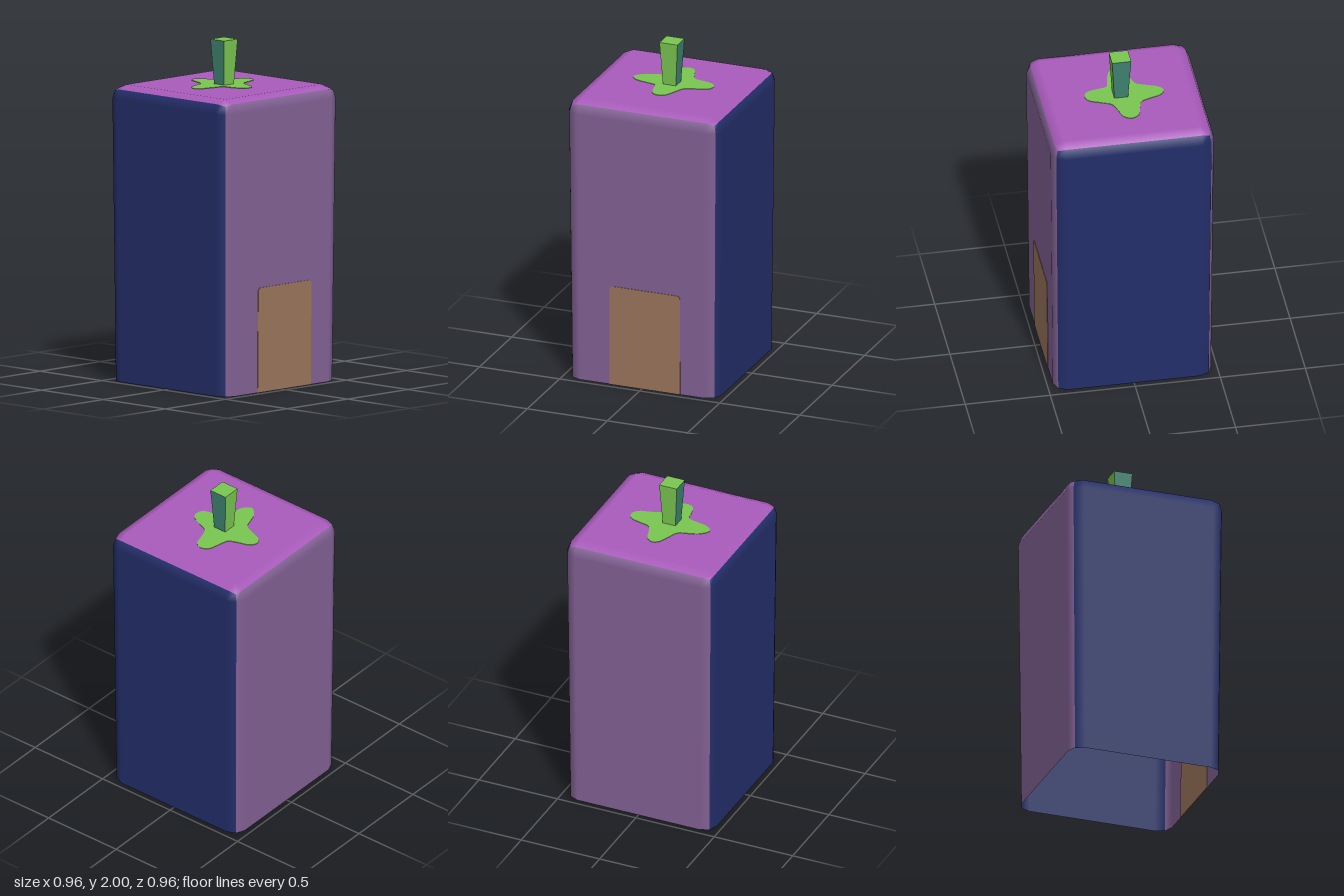
import * as THREE from 'three';

const HALF = 0.4, BEVEL = 0.08, RING = 1.655; // flat half width, bevel radius, top of the straight walls
const TAPER = 0.465 / 0.48;                    // the foot is slightly narrower

const mat = (name, color, side = THREE.FrontSide) => {
  const m = new THREE.MeshStandardMaterial({ color, side });
  m.name = name;
  return m;
};

function mesh(name, geometry, material) {
  const m = new THREE.Mesh(geometry, material);
  m.name = name;
  return m;
}

// Moves each grid vertex by a rule returning its flat core point and its bevel direction
function bevelPatch(columns, rows, rule) {
  const g = new THREE.PlaneGeometry(2, 2, columns, rows);
  const p = g.attributes.position, n = g.attributes.normal;
  for (let i = 0; i < p.count; i++) {
    const { core, dir } = rule(i % (columns + 1), Math.floor(i / (columns + 1)));
    dir.normalize();
    n.setXYZ(i, dir.x, dir.y, dir.z);
    core.addScaledVector(dir, BEVEL);
    const s = THREE.MathUtils.lerp(TAPER, 1, Math.min(core.y / RING, 1));
    p.setXYZ(i, core.x * s, core.y, core.z * s);
  }
  return g;
}

const side = (i) => (i < 2 ? -1 : 1);
const bend = (i) => [-1, 0, 0, 1][i];

// Wall panel: half a bevel at each vertical edge and along the top, open at the foot
const wallGeometry = () => bevelPatch(3, 2, (c, r) => ({
  core: new THREE.Vector3(side(c) * HALF, r === 2 ? 0 : RING, HALF),
  dir: new THREE.Vector3(bend(c), r === 0 ? 1 : 0, 1),
}));

// Roof panel: half a bevel on all four edges
const roofGeometry = () => bevelPatch(3, 3, (c, r) => ({
  core: new THREE.Vector3(side(c) * HALF, RING, side(r) * HALF),
  dir: new THREE.Vector3(bend(c), 1, bend(r)),
}));

// Thin plate centred on the surface, so it shows inside and out
function plate(shape, depth) {
  const g = new THREE.ExtrudeGeometry(shape, { depth, bevelEnabled: false, curveSegments: 6 });
  return g.translate(0, 0, -depth / 2);
}

export function createModel() {
  const group = new THREE.Group();
  group.name = 'eggplantHouse';
  const mauve = mat('mauve', 0x826194, THREE.DoubleSide);
  const navy = mat('navy', 0x232e69, THREE.DoubleSide);
  const purple = mat('purple', 0xa95bbc, THREE.DoubleSide);
  const brown = mat('brown', 0x9a755c);
  const green = mat('green', 0x7ac651);
  const teal = mat('teal', 0x3f8471);

  // Body: four walls and a roof
  ['frontWall', 'leftWall', 'backWall', 'rightWall'].forEach((name, k) => {
    const wall = mesh(name, wallGeometry(), k % 2 ? navy : mauve);
    wall.rotation.y = k * Math.PI / 2;
    group.add(wall);
  });
  group.add(mesh('roof', roofGeometry(), purple));

  // Door, leaning with the tapered front wall
  const L = -0.2, R = 0.24, H = 0.615, r = 0.025;
  const doorShape = new THREE.Shape();
  doorShape.moveTo(L, 0);
  doorShape.lineTo(R, 0);
  doorShape.lineTo(R, H - r);
  doorShape.quadraticCurveTo(R, H, R - r, H);
  doorShape.lineTo(L + r, H);
  doorShape.quadraticCurveTo(L, H, L, H - r);
  const door = mesh('door', plate(doorShape, 0.006), brown);
  door.position.z = (HALF + BEVEL) * TAPER;
  door.rotation.x = Math.atan((HALF + BEVEL) * (1 - TAPER) / RING);
  group.add(door);

  // Four-pointed leaf cap on the roof, outlined as x, z
  const outline = [
    [0.01, -0.255], [0.05, -0.23], [0.075, -0.16], [0.1, -0.108], [0.16, -0.09], [0.225, -0.07],
    [0.25, -0.025], [0.225, 0.02], [0.16, 0.04], [0.098, 0.065], [0.07, 0.12], [0.037, 0.19],
    [-0.005, 0.208], [-0.045, 0.19], [-0.065, 0.13], [-0.08, 0.067], [-0.13, 0.053], [-0.215, 0.03],
    [-0.245, -0.01], [-0.205, -0.06], [-0.14, -0.085], [-0.085, -0.105], [-0.055, -0.17], [-0.027, -0.235],
  ].map(([x, z]) => new THREE.Vector3(x, -z, 0));
  const curve = new THREE.CatmullRomCurve3(outline, true);
  const leafShape = new THREE.Shape(curve.getPoints(96).slice(0, -1).map((v) => new THREE.Vector2(v.x, v.y)));
  const leaf = mesh('leafCap', plate(leafShape, 0.006), green);
  leaf.rotation.x = -Math.PI / 2;
  leaf.position.y = RING + BEVEL;
  group.add(leaf);

  // Square stem, widening upward
  const stemH = 2 - RING - BEVEL;
  const stemGeo = new THREE.BoxGeometry(0.112, stemH, 0.112);
  const p = stemGeo.attributes.position;
  for (let i = 0; i < p.count; i++) {
    if (p.getY(i) < 0) p.setXYZ(i, p.getX(i) * 0.72, p.getY(i), p.getZ(i) * 0.72);
  }
  stemGeo.computeVertexNormals();
  const stem = mesh('stem', stemGeo, [teal, teal, green, green, green, green]);
  stem.position.y = 2 - stemH / 2;
  group.add(stem);

  return group;
}
